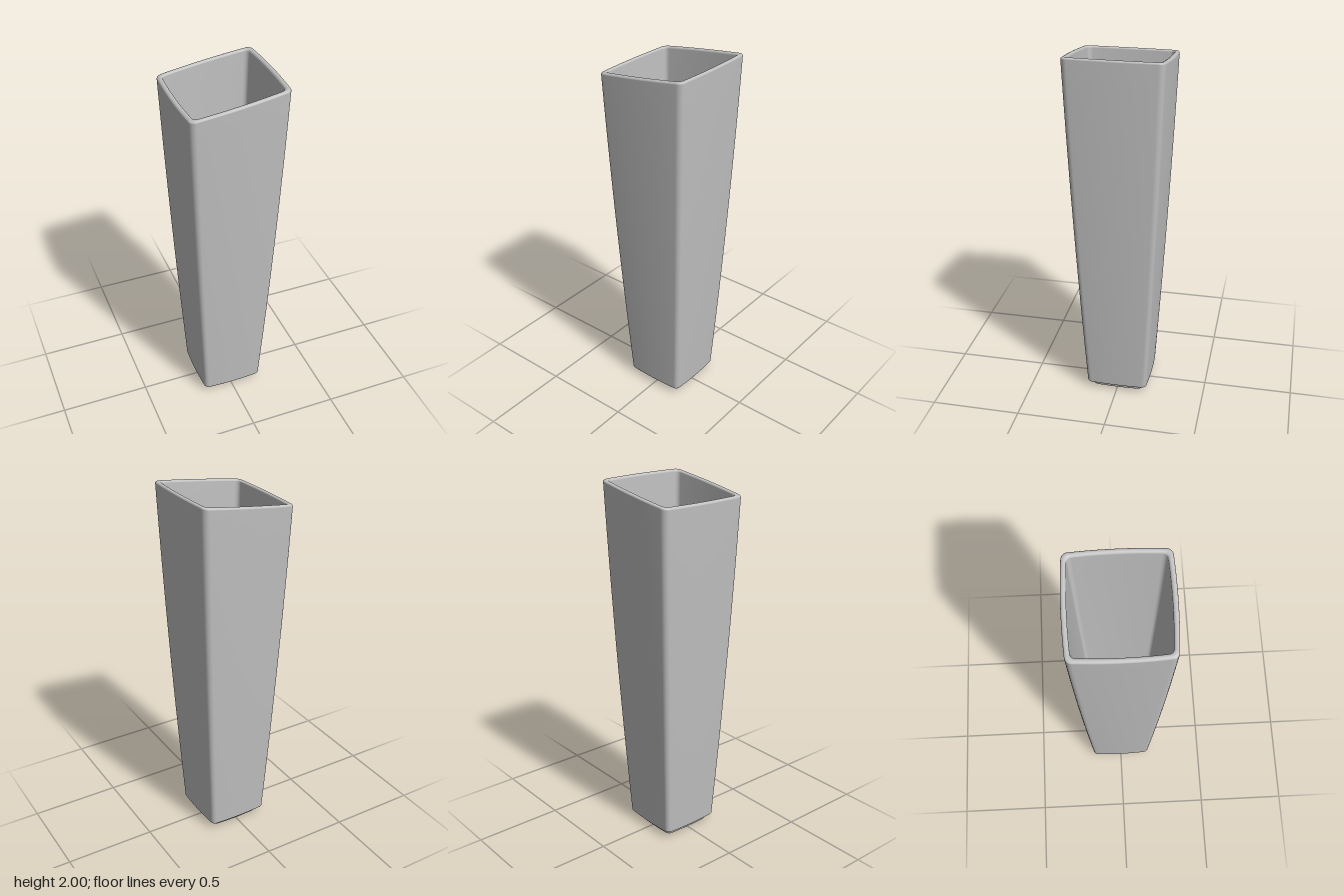
import * as THREE from 'three';

const SIDE = 10, CORNER = 6;
const TOP = 1.962, SLOPE = 0.139;

// Half width of the outer wall at height y: a gentle outward flare
const wall = (y) => {
  const u = (y - 0.05) / 1.9;
  return 0.18 + 0.115 * u - 0.025 * u * u;
};

// Square outline with slightly bowed sides and rounded corners, as [x, z] pairs
function outline(w, radius) {
  const bow = 0.03 * w, h = w - bow, r = Math.min(radius, h * 0.6), flat = h - r;
  const points = [];
  for (let k = 0; k < 4; k++) {
    const a = k * Math.PI / 2, c = Math.cos(a), s = Math.sin(a);
    const add = (x, z) => points.push([x * c - z * s, x * s + z * c]);
    for (let i = 0; i <= SIDE; i++) {
      const t = -1 + 2 * i / SIDE;
      add(h + bow * (1 - t * t), flat * t);
    }
    for (let i = 1; i < CORNER; i++) {
      const b = i / CORNER * Math.PI / 2;
      add(flat + r * Math.cos(b), flat + r * Math.sin(b));
    }
  }
  return points;
}

// Skin a list of [half width, height, corner radius] rings, shearing the top to a slant
function loft(rings) {
  const position = [], index = [];
  let n = 0;
  for (const [w, y, r] of rings) {
    const loop = outline(w, r);
    n = loop.length;
    const tilt = SLOPE * Math.pow(Math.max(y, 0) / TOP, 2);
    for (const [x, z] of loop) position.push(x, y + tilt * x, z);
  }
  for (let j = 0; j < rings.length - 1; j++) {
    for (let i = 0; i < n; i++) {
      const a = j * n + i, b = j * n + (i + 1) % n, c = a + n, d = b + n;
      index.push(a, c, b, b, c, d);
    }
  }
  const geometry = new THREE.BufferGeometry();
  geometry.setAttribute('position', new THREE.Float32BufferAttribute(position, 3));
  geometry.setIndex(index);
  geometry.computeVertexNormals();
  return geometry;
}

export function createModel() {
  const model = new THREE.Group();
  model.name = 'vase';
  const ceramic = new THREE.MeshStandardMaterial({ color: 0xc0c0c0 });
  ceramic.name = 'grey ceramic';
  const add = (name, rings) => {
    const mesh = new THREE.Mesh(loft(rings), ceramic);
    mesh.name = name;
    model.add(mesh);
  };

  // Foot ring with a shallow recess underneath
  add('foot', [
    [0, 0.015, 0.015], [0.112, 0.015, 0.015], [0.117, 0.013, 0.015], [0.12, 0.008, 0.016],
    [0.123, 0.002, 0.017], [0.127, 0, 0.018], [0.14, 0, 0.02], [0.145, 0.002, 0.022],
    [0.147, 0.007, 0.022], [0.149, 0.03, 0.022], [0.15, 0.036, 0.022],
  ]);

  // Outer wall with rounded lower edge, rolled rim, inner wall and floor
  const body = [[0.145, 0.032, 0.022], [0.168, 0.032, 0.024]];
  for (let i = 1; i <= 4; i++) {
    const a = i / 4 * Math.PI / 2;
    body.push([0.168 + 0.012 * Math.sin(a), 0.044 - 0.012 * Math.cos(a), 0.026]);
  }
  const rows = 16, edge = TOP - 0.011, thick = 0.027;
  for (let i = 0; i <= rows; i++) {
    const y = 0.06 + (edge - 0.06) * i / rows;
    body.push([wall(y), y, 0.026 + 0.008 * i / rows]);
  }
  const mid = wall(edge) - thick / 2;
  for (let i = 1; i < 8; i++) {
    const a = i / 8 * Math.PI;
    body.push([mid + thick / 2 * Math.cos(a), edge + 0.011 * Math.sin(a), 0.034 - 0.008 * i / 8]);
  }
  for (let i = rows; i >= 0; i--) {
    const y = 0.085 + (edge - 0.085) * i / rows;
    body.push([wall(y) - thick, y, 0.018 + 0.008 * i / rows]);
  }
  const inner = wall(0.085) - thick;
  for (let i = 1; i <= 4; i++) {
    const a = i / 4 * Math.PI / 2;
    body.push([inner - 0.018 * (1 - Math.cos(a)), 0.085 - 0.02 * Math.sin(a), 0.018]);
  }
  body.push([0.12, 0.065, 0.018], [0, 0.065, 0.018]);
  add('body', body);

  return model;
}
